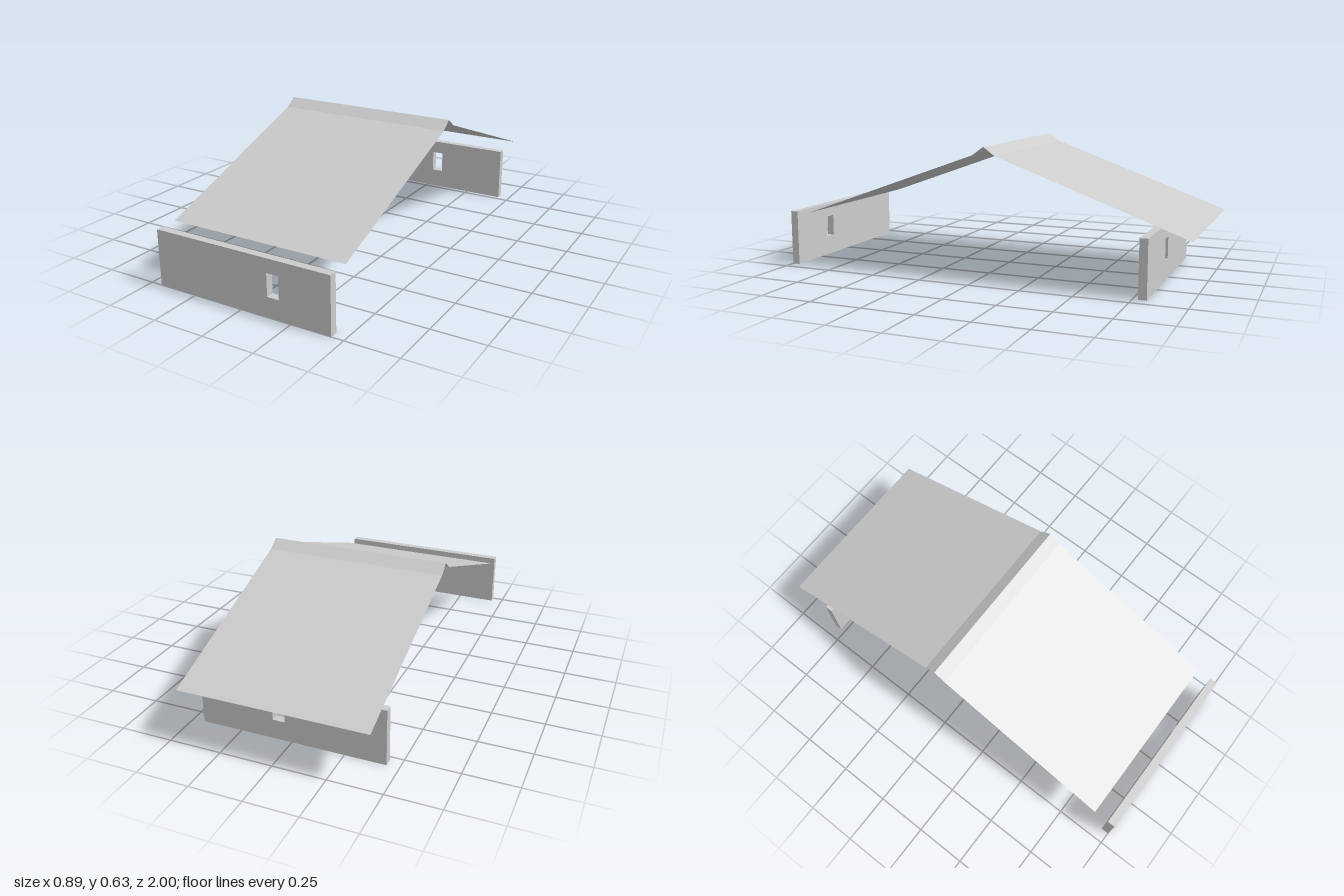
import * as THREE from 'three';

const WIDTH = 0.886, WALL_HEIGHT = 0.268, WALL_DEPTH = 0.038;

// Long low wall with one small window cut through it
function makeWall(name, zBack, windowX, material) {
  const half = WIDTH / 2;
  const shape = new THREE.Shape();
  shape.moveTo(-half, 0).lineTo(half, 0).lineTo(half, WALL_HEIGHT).lineTo(-half, WALL_HEIGHT).closePath();
  const w = 0.058, y0 = 0.095, y1 = 0.202;
  const hole = new THREE.Path();
  hole.moveTo(windowX, y0).lineTo(windowX, y1).lineTo(windowX + w, y1).lineTo(windowX + w, y0).closePath();
  shape.holes.push(hole);
  const geometry = new THREE.ExtrudeGeometry(shape, { depth: WALL_DEPTH, bevelEnabled: false });
  const wall = new THREE.Mesh(geometry, material);
  wall.name = name;
  wall.position.z = zBack;
  return wall;
}

// Thin sheet spanning the width between two [z, y] lines, facing up
function makeSheet(name, [zFront, yFront], [zBack, yBack], material) {
  const geometry = new THREE.PlaneGeometry(WIDTH, 1);
  const pos = geometry.attributes.position;
  for (let i = 0; i < pos.count; i++) {
    const back = pos.getY(i) > 0;
    pos.setXYZ(i, pos.getX(i), back ? yBack : yFront, back ? zBack : zFront);
  }
  geometry.computeVertexNormals();
  const sheet = new THREE.Mesh(geometry, material);
  sheet.name = name;
  return sheet;
}

export function createModel() {
  const model = new THREE.Group();
  model.name = 'shelter';
  const grey = new THREE.MeshStandardMaterial({ color: 0xcccccc, side: THREE.DoubleSide });
  grey.name = 'light grey';

  // Walls
  model.add(makeWall('frontWall', 1 - WALL_DEPTH, 0.137, grey));
  model.add(makeWall('backWall', -0.813, 0.031, grey));

  // Roof profile from front eave over the steeper ridge cap to back eave
  const profile = [[0.888, 0.268], [0, 0.587], [-0.056, 0.627], [-0.112, 0.587], [-1, 0.268]];
  const names = ['frontRoofSlope', 'frontRidgeCap', 'backRidgeCap', 'backRoofSlope'];
  const roof = new THREE.Group();
  roof.name = 'roof';
  names.forEach((name, i) => roof.add(makeSheet(name, profile[i], profile[i + 1], grey)));
  model.add(roof);

  return model;
}
